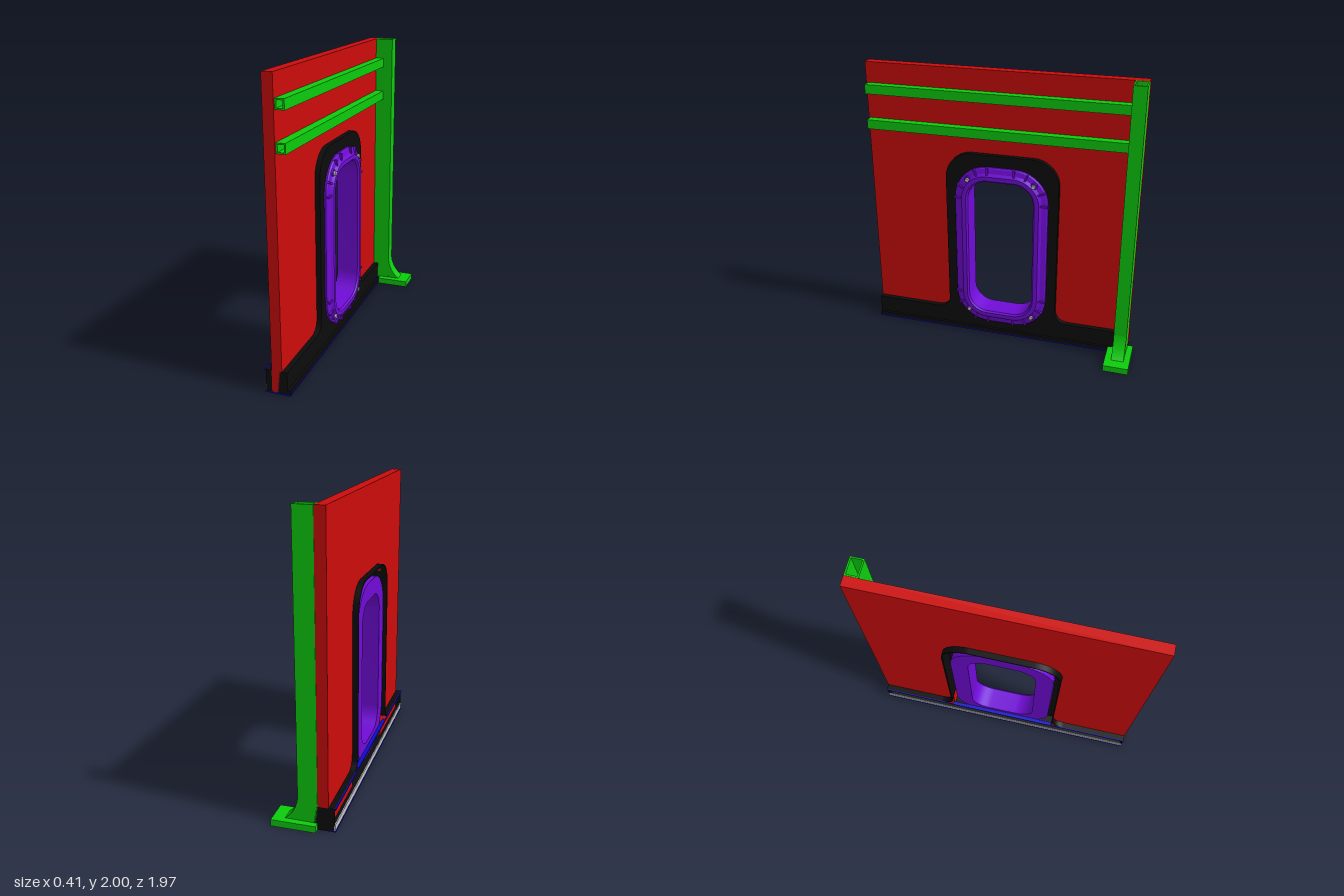
import * as THREE from 'three';
import { toCreasedNormals } from 'three/addons/utils/BufferGeometryUtils.js';

const mat = (name, color) => {
  const m = new THREE.MeshStandardMaterial({ color });
  m.name = name;
  return m;
};

export function createModel() {
  const red = mat('red panel', 0xcc0c0c);
  const green = mat('green steel', 0x0ccc0c);
  const black = mat('black trim', 0x0c0c0c);
  const purple = mat('purple frame', 0x700cd6);
  const blue = mat('blue sill', 0x0c0ccc);
  const grey = mat('grey metal', 0xc8c8c8);
  const root = new THREE.Group();
  root.name = 'wallPanelWithHatch';

  const add = (name, geo, material, parent = root) => {
    const mesh = new THREE.Mesh(geo, material);
    mesh.name = name;
    parent.add(mesh);
    return mesh;
  };
  // Box given by its limits on each axis
  const box = (name, material, [x0, x1], [y0, y1], [z0, z1]) => {
    const mesh = add(name, new THREE.BoxGeometry(x1 - x0, y1 - y0, z1 - z0), material);
    mesh.position.set((x0 + x1) / 2, (y0 + y1) / 2, (z0 + z1) / 2);
    return mesh;
  };
  // Extrude a (z, y) outline across the wall from x0 to x1
  const slab = (name, shape, material, x0, x1) => {
    const geo = new THREE.ExtrudeGeometry(shape, { depth: x1 - x0, bevelEnabled: false, curveSegments: 12 });
    geo.rotateY(-Math.PI / 2).translate(x1, 0, 0);
    return add(name, toCreasedNormals(geo, 0.5), material);
  };

  const zBack = -0.94, zFront = 0.983, zc = 0.005;

  // Rounded opening: corner circles, then any offset d outward
  const hw = 0.235, yLow = 0.2, yHigh = 1.237, rad = 0.14;
  const corners = [
    [zc + hw - rad, yHigh - rad], [zc - hw + rad, yHigh - rad],
    [zc - hw + rad, yLow + rad], [zc + hw - rad, yLow + rad],
  ];
  const ringPoints = (d, steps = 10) => {
    const pts = [];
    corners.forEach(([z, y], q) => {
      for (let i = 0; i <= steps; i++) {
        const a = (q + i / steps) * Math.PI / 2;
        pts.push(new THREE.Vector2(z + (rad + d) * Math.cos(a), y + (rad + d) * Math.sin(a)));
      }
    });
    return pts;
  };

  // Wall panel with a doorway notch
  const wall = new THREE.Shape();
  wall.moveTo(zBack, 0);
  wall.lineTo(zc - 0.4, 0);
  wall.lineTo(zc - 0.4, 1.22);
  wall.absarc(zc - 0.21, 1.22, 0.19, Math.PI, Math.PI / 2, true);
  wall.absarc(zc + 0.21, 1.22, 0.19, Math.PI / 2, 0, true);
  wall.lineTo(zc + 0.4, 0);
  wall.lineTo(zFront, 0);
  wall.lineTo(zFront, 2);
  wall.lineTo(zBack, 2);
  slab('wallPanel', wall, red, -0.16, -0.09);

  // Skirting and arch outline, inset by t
  const trimOutline = (t, P) => {
    const s = new P(), w = 0.405 - t, f = 0.09 + t, r = 0.19 - t, y = 0.16 - t, top = 1.23;
    s.moveTo(zBack + t, t);
    s.lineTo(zFront - t, t);
    s.lineTo(zFront - t, y);
    s.absarc(zc + w + f, y + f, f, -Math.PI / 2, -Math.PI, true);
    s.absarc(zc + w - r, top, r, 0, Math.PI / 2, false);
    s.absarc(zc - w + r, top, r, Math.PI / 2, Math.PI, false);
    s.absarc(zc - w - f, y + f, f, 0, -Math.PI / 2, true);
    s.lineTo(zBack + t, y);
    s.closePath();
    return s;
  };
  const plate = trimOutline(0, THREE.Shape);
  plate.holes.push(new THREE.Path(ringPoints(0.08)));
  slab('trimPlate', plate, black, -0.088, -0.055);
  const rim = trimOutline(0, THREE.Shape);
  rim.holes.push(trimOutline(0.01, THREE.Path));
  slab('trimRim', rim, black, -0.2, -0.088);
  box('trimEndCap', black, [-0.2, -0.161], [0.01, 0.155], [zFront - 0.008, zFront]);
  box('trimEndCap', black, [-0.2, -0.161], [0.01, 0.155], [zBack, zBack + 0.008]);

  // Blue sill around the bottom edge
  const zAll = [zBack, zFront + 0.002];
  box('sillBase', blue, [-0.207, -0.035], [0, 0.008], zAll);
  box('sillFrontLip', blue, [-0.058, -0.035], [0, 0.04], [zBack, -0.83]);
  box('sillFrontEdge', black, [-0.056, -0.037], [0.008, 0.035], [-0.83, zFront]);
  box('sillTopEdge', blue, [-0.207, -0.2], [0.15, 0.162], zAll);
  box('sillLedge', blue, [-0.205, -0.18], [0.15, 0.16], [zc - 0.395, zc + 0.395]);
  box('sillStrip', grey, [-0.204, -0.196], [0.01, 0.05], [zBack, zFront]);

  // Hatch frame: a [offset, x] section swept round the opening
  const section = [
    [0, -0.18], [0, -0.022], [0.012, -0.01], [0.042, -0.01], [0.06, -0.028],
    [0.092, -0.036], [0.1, -0.044], [0.1, -0.07], [0.122, -0.09], [0.122, -0.18], [0, -0.18],
  ];
  const rings = section.map(([d]) => ringPoints(d));
  const pos = [], index = [], n = rings[0].length;
  rings.forEach((ring, j) => ring.forEach((p, i) => {
    pos.push(section[j][1], p.y, p.x);
    if (j === rings.length - 1) return;
    const a = j * n + i, b = j * n + (i + 1) % n;
    index.push(a, b, b + n, a, b + n, a + n);
  }));
  const frameGeo = new THREE.BufferGeometry();
  frameGeo.setAttribute('position', new THREE.Float32BufferAttribute(pos, 3));
  frameGeo.setIndex(index);
  add('hatchFrame', toCreasedNormals(frameGeo, 0.45), purple);

  // Ribs across the frame and a bolt at each corner
  corners.forEach(([z, y], q) => {
    for (const deg of [0, 24, 66, 90]) {
      const a = (q * 90 + deg) * Math.PI / 180;
      const rib = add('frameRib', new THREE.BoxGeometry(0.03, 0.012, 0.078), purple);
      rib.position.set(-0.034, y + (rad + 0.062) * Math.sin(a), z + (rad + 0.062) * Math.cos(a));
      rib.rotation.x = -a;
    }
    const a = (q + 0.5) * Math.PI / 2;
    const at = [y + (rad + 0.06) * Math.sin(a), z + (rad + 0.06) * Math.cos(a)];
    const boss = add('boltBoss', new THREE.CylinderGeometry(0.024, 0.028, 0.02, 16), purple);
    const bolt = add('bolt', new THREE.CylinderGeometry(0.015, 0.015, 0.02, 6), grey);
    boss.position.set(-0.032, ...at);
    bolt.position.set(-0.018, ...at);
    boss.rotation.z = bolt.rotation.z = -Math.PI / 2;
  });

  // Hollow rectangular tube outline
  const tube = (x0, x1, y0, y1, t) => {
    const rect = (P, k) => new P([[x0 + k, y0 + k], [x1 - k, y0 + k], [x1 - k, y1 - k], [x0 + k, y1 - k]]
      .map(([x, y]) => new THREE.Vector2(x, y)));
    const s = rect(THREE.Shape, 0);
    s.holes.push(rect(THREE.Path, t));
    return s;
  };

  // Horizontal rails
  for (const y of [1.54, 1.79]) {
    const geo = new THREE.ExtrudeGeometry(tube(-0.09, -0.03, y, y + 0.065, 0.01), { depth: 1.82, bevelEnabled: false });
    add('rail', geo.translate(0, 0, -0.85), green);
  }

  // Post, foot plate and curved brace
  const post = new THREE.ExtrudeGeometry(tube(-0.089, 0.038, 0.85, 0.94, 0.01), { depth: 1.98, bevelEnabled: false });
  add('post', post.rotateX(-Math.PI / 2).translate(0, 0.02, 0), green);
  box('footPlate', green, [-0.034, 0.204], [0, 0.045], [-0.982, -0.805]);
  box('footPlateEdge', green, [-0.089, -0.034], [0, 0.045], [-0.982, -0.942]);
  const brace = new THREE.Shape();
  brace.moveTo(0.03, 0.04);
  brace.lineTo(0.13, 0.04);
  brace.quadraticCurveTo(0.05, 0.1, 0.038, 0.2);
  brace.lineTo(0.03, 0.2);
  const braceGeo = new THREE.ExtrudeGeometry(brace, { depth: 0.088, bevelEnabled: false, curveSegments: 12 });
  add('footBrace', toCreasedNormals(braceGeo.translate(0, 0, -0.939), 0.5), green);

  return root;
}
